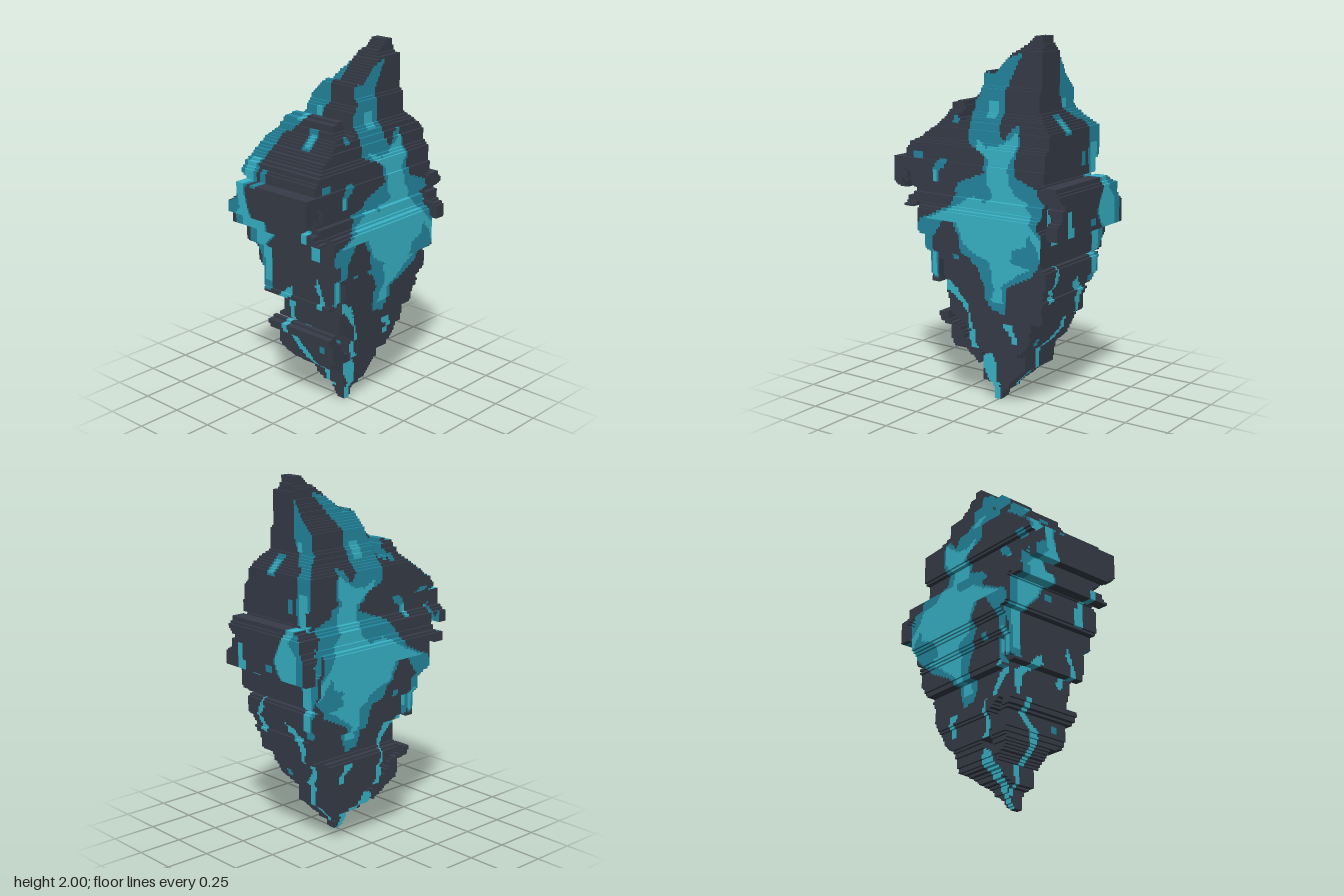
import * as THREE from 'three';

// The crystal is a stack of thin layers: each layer is the front outline's width by the side outline's depth.
const CELL = 0.0125, NX = 88, NY = 160, NZ = 56;
const X0 = -NX * CELL / 2, Z0 = -NZ * CELL / 2;

// Front outlines, flat lists of x, y
const bodyRight = [-.02, 0, .015, 0, .03, .05, .07, .08, .11, .13, .16, .18, .2, .21, .2, .32, .25, .35, .29, .43, .3, .51,
  .37, .52, .37, .6, .4, .64, .39, .66, .41, .72, .43, .72, .43, .81, .39, .83, .43, .85, .43, 1, .4, 1.05, .4, 1.15,
  .42, 1.2, .42, 1.24, .39, 1.27, .43, 1.28, .43, 1.52, .38, 1.56, .33, 1.62, .33, 1.91, .31, 1.94, .3, 2.01, .27, 2.01,
  .24, 1.98, .2, 1.95, .13, 1.9, .03, 1.8, -.02, 1.8, -.02, .1];
const bodyLeft = [0, 0, -.02, .01, -.03, .1, -.08, .12, -.08, .25, -.03, .27, -.03, .31, -.1, .31, -.12, .44, -.22, .5,
  -.225, .67, -.23, .8, -.26, .8, -.26, .69, -.28, .66, -.33, .66, -.31, .72, -.31, .93, -.36, .95, -.36, 1.08,
  -.42, 1.12, -.42, 1.25, -.44, 1.43, -.41, 1.43, -.3, 1.51, -.24, 1.56, -.22, 1.64, -.15, 1.65, -.14, 1.61, -.17, 1.57,
  -.13, 1.55, -.08, 1.57, -.07, 1.68, -.04, 1.7, -.04, 1.8, 0, 1.82, 0, .5];
const leftHook = [-.42, 1.25, -.46, 1.28, -.44, 1.22, -.46, 1.2, -.49, 1.23, -.48, 1.17, -.54, 1.16, -.54, 1.34,
  -.46, 1.34, -.46, 1.39, -.44, 1.41, -.4, 1.41];
const leftBarb = [-.4, 1.07, -.46, 1.08, -.46, 1.12, -.4, 1.13];
const lowerSpur = [-.3, .48, -.24, .5, -.23, .45, -.19, .42, -.14, .35, -.11, .33, -.1, .28, -.08, .24, -.1, .2,
  -.14, .23, -.2, .28, -.23, .33, -.24, .42, -.28, .44];
const rightHook = [.4, 1.19, .42, 1.26, .5, 1.26, .5, 1.24, .53, 1.22, .53, 1.03, .52, 1, .46, 1, .47, 1.1, .44, 1.13, .42, 1.17];

// Side outline, flat list of z, y
const sideOutline = [.09, 0, .035, 0, 0, .06, -.02, .12, -.07, .14, -.09, .17, -.15, .2, -.17, .28, -.2, .32, -.2, .42,
  -.23, .45, -.22, .5, -.18, .52, -.18, .66, -.23, .67, -.24, .8, -.27, .82, -.28, .9, -.315, .93, -.315, 1.12,
  -.27, 1.15, -.26, 1.22, -.2, 1.26, -.2, 1.35, -.24, 1.36, -.24, 1.52, -.2, 1.55, -.14, 1.65, -.14, 1.72, -.06, 1.8,
  0, 1.9, 0, 1.93, .03, 1.96, .03, 2.01, .13, 2.01, .13, 1.94, .16, 1.92, .16, 1.75, .19, 1.72, .19, 1.61, .24, 1.54,
  .25, 1.46, .29, 1.42, .3, 1.2, .24, 1.16, .28, 1.15, .28, 1.1, .32, 1.08, .32, .86, .28, .84, .28, .74, .26, .7,
  .24, .6, .22, .55, .22, .43, .2, .42, .2, .3, .13, .29, .13, .14, .11, .1, .08, .05];

// Teal veins and bright cores on the front and back
const frontTeal = [.21, 1.92, .1, 1.88, 0, 1.81, -.05, 1.8, -.05, 1.68, -.08, 1.66, -.08, 1.45, .04, 1.4, .06, 1.3,
  0, 1.28, -.1, 1.24, -.15, 1.18, -.18, 1.1, -.25, 1.06, -.35, 1.02, -.37, .95, -.32, .93, -.32, .7, -.27, .68,
  -.26, .93, -.2, 1.02, -.13, 1.02, -.09, .95, -.08, .88, -.05, .82, 0, .78, .02, .72, .03, .6, .06, .55, .13, .54,
  .16, .62, .17, .7, .22, .72, .34, .78, .36, .82, .4, .86, .44, .9, .44, 1, .41, 1.05, .4, 1.2, .38, 1.25,
  .25, 1.3, .24, 1.36, .25, 1.42, .24, 1.55, .2, 1.54, .17, 1.5, .15, 1.46, .11, 1.52, .11, 1.72, .15, 1.82];
const frontFleck = [-.28, 1.23, -.28, 1.28, -.24, 1.35, -.18, 1.35, -.2, 1.31, -.24, 1.28, -.24, 1.23];
const frontCore = [-.03, 1.47, 0, 1.42, .07, 1.38, .07, 1.25, .11, 1.2, .05, 1.14, -.05, 1.16, -.18, 1.08, -.3, 1.03,
  -.1, 1.02, -.06, .92, 0, .88, .06, .85, .09, .76, .09, .68, .06, .6, .14, .6, .14, .7, .2, .74, .25, .78, .33, .82,
  .24, .84, .25, .92, .33, .95, .35, 1.02, .4, .95, .42, .9, .42, 1, .36, 1.06, .33, 1.12, .27, 1.18, .22, 1.25,
  .2, 1.35, .24, 1.42, .23, 1.52, .18, 1.48, .12, 1.44, .05, 1.43];
const frontStreak = [-.23, .7, -.15, .64, -.1, .55, -.08, .45, -.08, .35, -.03, .3, .01, .22, .02, .1, .01, 0, -.03, 0,
  -.04, .12, -.08, .2, -.11, .35, -.1, .5, -.16, .58, -.23, .64];
const frontHook = [.12, .49, .19, .49, .2, .38, .16, .38, .16, .45, .12, .46];

// Teal veins and bright cores on the two sides
const sideTeal = [0, 1.91, -.06, 1.82, -.15, 1.72, -.15, 1.65, -.25, 1.53, -.25, 1.3, -.27, 1.2, -.29, 1.12, -.29, .93,
  -.25, .85, -.24, .68, -.18, .68, -.18, .9, -.16, .96, -.09, 1.03, -.06, 1.1, -.1, 1.18, -.12, 1.22, -.14, 1.3,
  -.12, 1.36, -.14, 1.46, -.14, 1.55, -.09, 1.57, -.03, 1.63, 0, 1.7];
const sideCore = [-.15, 1.44, -.21, 1.44, -.22, 1.35, -.19, 1.27, -.18, 1.2, -.24, 1.14, -.24, .9, -.22, .8, -.22, .72,
  -.18, .72, -.18, .95, -.1, 1.03, -.07, 1.1, -.12, 1.2, -.15, 1.3];
const sideStreak = [-.03, .74, -.08, .7, -.14, .65, -.13, .55, -.12, .42, -.05, .35, -.02, .3, -.01, .2, 0, .06, .03, .06,
  .03, .32, -.02, .37, -.08, .42, -.1, .55, -.08, .64, -.03, .68];
const sideUpperChip = [.22, 1.14, .19, 1.14, .19, 1.06, .16, 1.04, .16, .95, .22, .95];
const sideLowerChip = [.2, .72, .16, .83, .14, .78, .18, .72, .15, .64, .19, .62, .21, .7];

const patch = (x, y, w, h) => [x - w, y - h, x + w, y - h, x + w, y + h, x - w, y + h];

const frontShape = [bodyRight, bodyLeft, leftHook, leftBarb, lowerSpur, rightHook];
const frontPaint = {
  bright: [frontCore, frontStreak, frontHook, patch(.04, 1.62, .03, .04), patch(-.285, .77, .016, .07), patch(-.26, 1.26, .012, .03)],
  teal: [frontTeal, frontFleck, patch(-.17, 1.56, .022, .02), patch(-.38, 1.36, .03, .02), patch(-.14, .83, .02, .015)],
};
const sidePaint = {
  bright: [sideCore, sideStreak, sideUpperChip, sideLowerChip, patch(.07, 1.545, .022, .035), patch(-.045, 1.65, .02, .02)],
  teal: [sideTeal, patch(.07, 1.545, .032, .05), patch(-.08, 1.365, .015, .035), patch(-.03, 1.045, .025, .02), patch(.12, .38, .015, .02)],
};

function inside(p, x, y) {
  let hit = false;
  for (let i = 0, j = p.length - 2; i < p.length; j = i, i += 2) {
    if ((p[i + 1] > y) !== (p[j + 1] > y) &&
      x < (p[j] - p[i]) * (y - p[i + 1]) / (p[j + 1] - p[i + 1]) + p[i]) hit = !hit;
  }
  return hit;
}

// Cell rows: null is empty, otherwise the colour name
function makeRows(n, start, shapes, paint) {
  const rows = [];
  for (let j = 0; j < NY; j++) {
    const y = (j + .5) * CELL;
    rows.push(Array.from({ length: n }, (_, i) => {
      const x = start + (i + .5) * CELL, has = (p) => inside(p, x, y);
      if (!shapes.some(has)) return null;
      return paint.bright.some(has) ? 'bright' : paint.teal.some(has) ? 'teal' : 'dark';
    }));
  }
  return rows;
}

// Consecutive cells that share a key, as [from, to, key]
function runs(n, key) {
  const out = [];
  for (let i = 0; i < n;) {
    const k = key(i);
    let e = i + 1;
    while (e < n && key(e) === k) e++;
    if (k) out.push([i, e, k]);
    i = e;
  }
  return out;
}

export function createModel() {
  const buffers = { dark: [], teal: [], bright: [] };
  const xs = makeRows(NX, X0, frontShape, frontPaint);
  const zs = makeRows(NZ, Z0, [sideOutline], sidePaint);
  const X = (i) => X0 + i * CELL, Z = (k) => Z0 + k * CELL;

  // One rectangle facing along an axis
  function face(colour, axis, sign, pos, a0, a1, b0, b1) {
    const at = (a, b) => {
      const p = [0, 0, 0];
      p[axis] = pos; p[(axis + 1) % 3] = a; p[(axis + 2) % 3] = b;
      return p;
    };
    const c = [at(a0, b0), at(a1, b0), at(a1, b1), at(a0, b1)];
    if (sign < 0) c.reverse();
    for (const i of [0, 1, 2, 0, 2, 3]) buffers[colour].push(...c[i]);
  }

  for (let j = 0; j < NY; j++) {
    const y = j * CELL, top = y + CELL, xr = xs[j], zr = zs[j];
    const xColours = runs(NX, (i) => xr[i]), zColours = runs(NZ, (k) => zr[k]);
    // Front and back walls
    for (const [k0, k1] of runs(NZ, (k) => !!zr[k])) for (const [i0, i1, c] of xColours) {
      face(c, 2, 1, Z(k1), X(i0), X(i1), y, top);
      face(c, 2, -1, Z(k0), X(i0), X(i1), y, top);
    }
    // Side walls
    for (const [i0, i1] of runs(NX, (i) => !!xr[i])) for (const [k0, k1, c] of zColours) {
      face(c, 0, 1, X(i1), y, top, Z(k0), Z(k1));
      face(c, 0, -1, X(i0), y, top, Z(k0), Z(k1));
    }
    // Ledges above and below, wherever the neighbouring layer is smaller
    for (const sign of [1, -1]) {
      const nx = xs[j + sign] || [], nz = zs[j + sign] || [], h = sign > 0 ? top : y;
      for (const [i0, i1] of runs(NX, (i) => !!xr[i] && !nx[i])) for (const [k0, k1, c] of zColours)
        face(c, 1, sign, h, Z(k0), Z(k1), X(i0), X(i1));
      for (const [k0, k1] of runs(NZ, (k) => !!zr[k] && !nz[k])) for (const [i0, i1, c] of runs(NX, (i) => nx[i] && xr[i]))
        face(c, 1, sign, h, Z(k0), Z(k1), X(i0), X(i1));
    }
  }

  const group = new THREE.Group();
  group.name = 'crystalShard';
  const parts = [['dark', 'darkStone', 0x363c48], ['teal', 'tealVeins', 0x2388a0], ['bright', 'brightCore', 0x38b5c9]];
  for (const [key, name, color] of parts) {
    const geometry = new THREE.BufferGeometry();
    geometry.setAttribute('position', new THREE.Float32BufferAttribute(buffers[key], 3));
    geometry.computeVertexNormals();
    const material = new THREE.MeshStandardMaterial({ color });
    material.name = name;
    const mesh = new THREE.Mesh(geometry, material);
    mesh.name = name;
    group.add(mesh);
  }
  return group;
}
